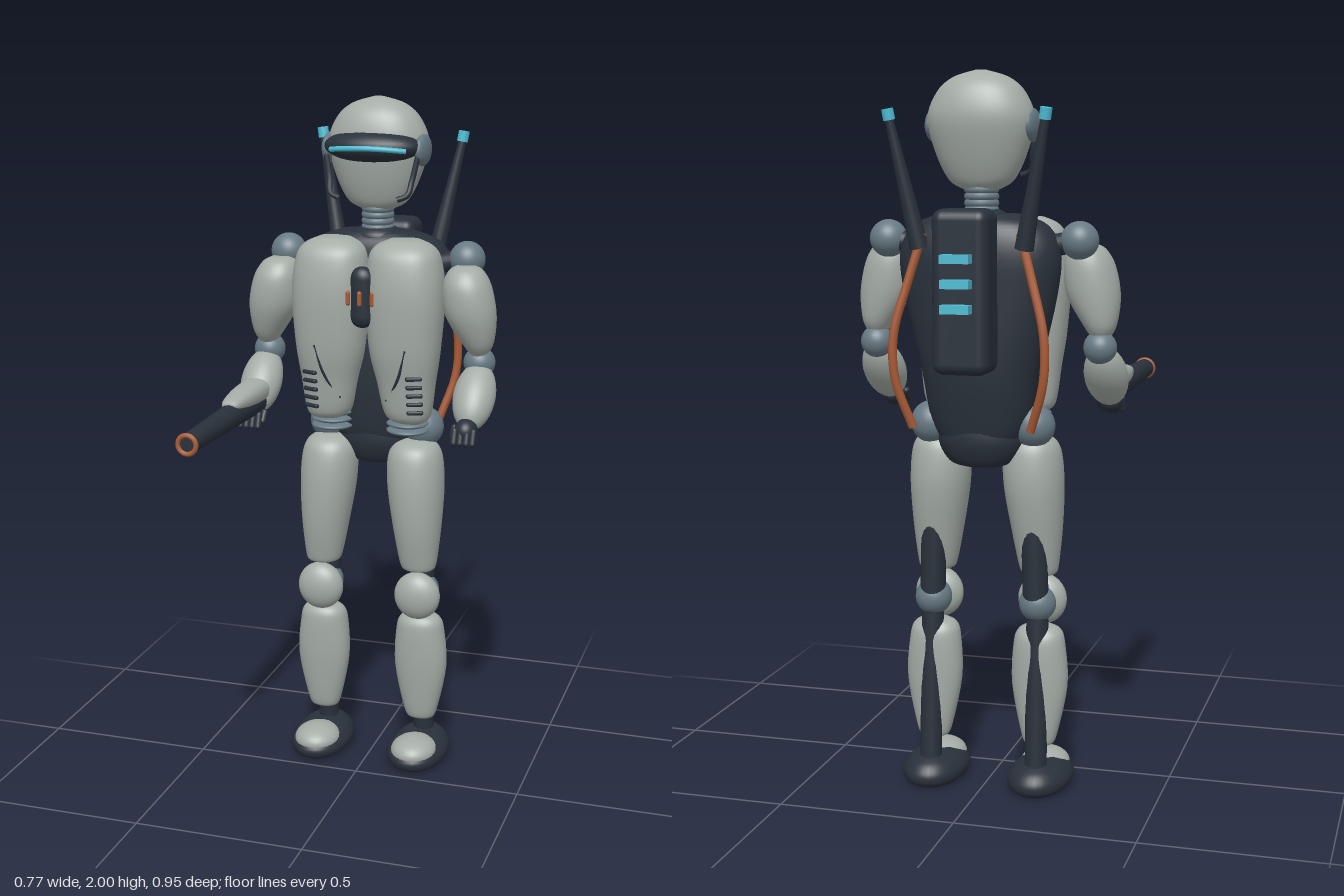
import * as THREE from 'three';
import { RoundedBoxGeometry } from 'three/addons/geometries/RoundedBoxGeometry.js';

const mat = (name, color) => Object.assign(new THREE.MeshStandardMaterial({ color }), { name });
const shell = mat('shell grey', 0xa5ada7);
const dark = mat('frame charcoal', 0x29313b);
const joint = mat('joint slate', 0x687a84);
const copper = mat('copper', 0xa85a35);
const cyan = mat('cyan glow', 0x4dbcd3);

const V = (x, y, z) => new THREE.Vector3(x, y, z);

// Smooth body through stacked rounded sections [y, cx, cz, halfWidth, halfDepth], bottom to top
function loft(sections, n = 2, s = 1, sub = 5, seg = 36) {
  const rows = [];
  for (let i = 0; i < sections.length - 1; i++) {
    const p = [i - 1, i, i + 1, i + 2].map(k => sections[Math.min(Math.max(k, 0), sections.length - 1)]);
    for (let j = 0; j < sub; j++) {
      const t = j / sub;
      rows.push(p[1].map((b, k) => {
        const m0 = (p[2][k] - p[0][k]) / 2, m1 = (p[3][k] - b) / 2, d = p[2][k] - b;
        return b + m0 * t + (3 * d - 2 * m0 - m1) * t * t + (m0 + m1 - 2 * d) * t ** 3;
      }));
    }
  }
  rows.push(sections.at(-1));
  const first = rows[0], last = rows.at(-1);
  rows.unshift([first[0], first[1], first[2], 0, 0]);
  rows.push([last[0], last[1], last[2], 0, 0]);
  const pos = [], idx = [];
  const pw = v => Math.sign(v) * Math.abs(v) ** (2 / n);
  rows.forEach(([y, cx, cz, a, b], r) => {
    for (let j = 0; j < seg; j++) {
      const t = j / seg * Math.PI * 2;
      pos.push(cx * s + a * pw(Math.cos(t)), y, cz + b * pw(Math.sin(t)));
      if (r < rows.length - 1) {
        const p = r * seg + j, q = r * seg + (j + 1) % seg;
        idx.push(p, p + seg, q, q, p + seg, q + seg);
      }
    }
  });
  const g = new THREE.BufferGeometry();
  g.setAttribute('position', new THREE.Float32BufferAttribute(pos, 3));
  g.setIndex(idx);
  g.computeVertexNormals();
  return g;
}

export function createModel() {
  const root = new THREE.Group();
  root.name = 'robot';
  const add = (name, geo, m, x = 0, y = 0, z = 0) => {
    const mesh = new THREE.Mesh(geo, m);
    mesh.name = name;
    mesh.position.set(x, y, z);
    root.add(mesh);
    return mesh;
  };
  const ball = (name, m, x, y, z, rx, ry = rx, rz = rx) =>
    add(name, new THREE.SphereGeometry(1, 32, 20).scale(rx, ry, rz), m, x, y, z);
  const rod = (name, m, a, b, r0, r1 = r0) => {
    const mesh = add(name, new THREE.CylinderGeometry(r1, r0, a.distanceTo(b), 20), m);
    mesh.position.copy(a).lerp(b, 0.5);
    mesh.quaternion.setFromUnitVectors(V(0, 1, 0), b.clone().sub(a).normalize());
    return mesh;
  };
  const tube = (name, m, pts, r) =>
    add(name, new THREE.TubeGeometry(new THREE.CatmullRomCurve3(pts), 28, r, 10), m);

  // Head, visor and neck
  add('head', loft([
    [1.685, 0, -0.215, 0.05, 0.04], [1.71, 0, -0.215, 0.09, 0.06], [1.78, 0, -0.217, 0.125, 0.085],
    [1.87, 0, -0.22, 0.147, 0.102], [1.94, 0, -0.22, 0.122, 0.088], [1.98, 0, -0.22, 0.078, 0.057],
    [2.0, 0, -0.22, 0.015, 0.012]], 2.15), shell);
  ball('visor', dark, 0, 1.865, -0.16, 0.143, 0.047, 0.076);
  const strip = [];
  for (let i = -5; i <= 5; i++) {
    const x = i * 0.022;
    strip.push(V(x, 1.865 - 0.6 * x * x, -0.16 + 0.075 * Math.sqrt(1 - (x / 0.143) ** 2)));
  }
  tube('visorLight', cyan, strip, 0.0075);
  rod('neckCore', dark, V(0, 1.58, -0.215), V(0, 1.72, -0.215), 0.04);
  for (let i = 0; i < 5; i++) {
    add('neckRing', new THREE.TorusGeometry(0.037, 0.011, 10, 28).rotateX(Math.PI / 2), joint, 0, 1.63 + i * 0.018, -0.215);
  }
  ball('collar', dark, 0, 1.605, -0.215, 0.075, 0.035, 0.07);

  // Torso frame and pelvis
  add('torsoFrame', loft([
    [0.99, 0, -0.22, 0.1, 0.075], [1.06, 0, -0.22, 0.14, 0.09], [1.2, 0, -0.225, 0.165, 0.105],
    [1.4, 0, -0.23, 0.212, 0.105], [1.52, 0, -0.23, 0.222, 0.105], [1.59, 0, -0.225, 0.185, 0.09],
    [1.62, 0, -0.22, 0.11, 0.06]], 2.4), dark);
  add('pelvis', loft([
    [0.93, 0, -0.22, 0.05, 0.04], [0.945, 0, -0.22, 0.09, 0.065], [1.0, 0, -0.22, 0.12, 0.085],
    [1.07, 0, -0.22, 0.11, 0.08]], 2.2), dark);

  // Chest badge
  add('chestBadge', new THREE.CapsuleGeometry(0.036, 0.105, 8, 20).scale(1, 1, 0.8), dark, 0, 1.45, -0.062);
  for (const x of [-0.036, 0, 0.036]) {
    add('badgeBar', new THREE.CapsuleGeometry(0.007, 0.03, 6, 12), copper, x, 1.45, x ? -0.04 : -0.034);
  }

  // Backpack with cooling fins
  add('backpack', new RoundedBoxGeometry(0.155, 0.435, 0.13, 4, 0.03), dark, 0, 1.42, -0.375);
  for (const y of [1.38, 1.445, 1.51]) {
    add('packFin', new THREE.BoxGeometry(0.078, 0.023, 0.05), cyan, 0, y, -0.452);
  }

  for (const s of [1, -1]) {
    // Ear disc and cheek boom
    ball('earDisc', joint, s * 0.137, 1.855, -0.2, 0.02, 0.045, 0.062);
    tube('cheekBoom', dark, [V(s * 0.135, 1.84, -0.15), V(s * 0.122, 1.775, -0.14), V(s * 0.113, 1.735, -0.122), V(s * 0.085, 1.722, -0.115)], 0.008);

    // Chest plate with groove and vents
    add('chestPlate', loft([
      [1.075, 0.13, -0.13, 0.03, 0.03], [1.1, 0.12, -0.13, 0.066, 0.06], [1.2, 0.115, -0.125, 0.085, 0.075],
      [1.3, 0.111, -0.12, 0.103, 0.09], [1.45, 0.111, -0.12, 0.113, 0.1], [1.55, 0.108, -0.122, 0.105, 0.09],
      [1.59, 0.106, -0.125, 0.085, 0.07], [1.61, 0.105, -0.13, 0.045, 0.04]], 2.4, s), shell);
    tube('chestGroove', dark, [V(s * 0.135, 1.31, -0.034), V(s * 0.11, 1.22, -0.048), V(s * 0.07, 1.15, -0.073)], 0.005);
    for (let i = 0; i < 5; i++) {
      const vent = add('sideVent', new RoundedBoxGeometry(0.048, 0.012, 0.03, 2, 0.005), dark, s * 0.153, 1.12 + i * 0.026, -0.078 + i * 0.005);
      vent.rotation.y = s * 0.4;
    }
    for (let i = 0; i < 3; i++) {
      ball('waistRib', joint, s * 0.115, 1.05 + i * 0.021, -0.14, 0.062, 0.013, 0.06);
    }

    // Antenna and hose
    rod('antenna', dark, V(s * 0.145, 1.53, -0.315), V(s * 0.213, 1.875, -0.36), 0.026, 0.011);
    rod('antennaTip', cyan, V(s * 0.211, 1.866, -0.359), V(s * 0.216, 1.896, -0.362), 0.016);
    tube('hose', copper, [V(s * 0.135, 1.57, -0.315), V(s * 0.17, 1.45, -0.33), V(s * 0.208, 1.3, -0.35), V(s * 0.206, 1.18, -0.348), V(s * 0.165, 1.045, -0.322)], 0.012);

    // Arm
    rod('shoulderAxle', dark, V(s * 0.17, 1.53, -0.205), V(s * 0.27, 1.55, -0.205), 0.03);
    ball('shoulder', joint, s * 0.27, 1.55, -0.205, 0.052);
    add('upperArm', loft([
      [1.28, 0.32, -0.16, 0.02, 0.025], [1.32, 0.317, -0.157, 0.045, 0.053], [1.4, 0.297, -0.148, 0.073, 0.074],
      [1.48, 0.285, -0.147, 0.07, 0.074], [1.525, 0.28, -0.152, 0.05, 0.054], [1.54, 0.278, -0.155, 0.025, 0.028]], 2.1, s), shell);
    ball('elbow', joint, s * 0.32, 1.26, -0.168, 0.046);
    ball('forearm', shell, s * 0.323, 1.175, -0.1, 0.061, 0.108, 0.055).rotation.x = -0.74;
    ball('palm', dark, s * 0.32, 1.095, -0.02, 0.033, 0.035, 0.04);
    for (let i = 0; i < 4; i++) {
      const finger = add('finger', new THREE.CapsuleGeometry(0.0095, 0.035, 6, 10), dark, s * (0.293 + i * 0.018), 1.083, 0.013);
      finger.rotation.x = -0.35;
    }
    add('thumb', new THREE.CapsuleGeometry(0.01, 0.03, 6, 10), dark, s * 0.286, 1.09, -0.012).rotation.x = -0.7;

    // Leg
    ball('hip', joint, s * 0.145, 1.045, -0.21, 0.06);
    rod('thighCore', dark, V(s * 0.15, 0.55, -0.2), V(s * 0.14, 0.98, -0.205), 0.036);
    add('thigh', loft([
      [0.62, 0.15, -0.155, 0.045, 0.045], [0.64, 0.148, -0.155, 0.055, 0.055], [0.75, 0.143, -0.158, 0.071, 0.08],
      [0.87, 0.136, -0.165, 0.083, 0.093], [0.96, 0.132, -0.168, 0.081, 0.085], [1.0, 0.132, -0.17, 0.063, 0.065],
      [1.015, 0.132, -0.17, 0.03, 0.03]], 2.15, s), shell);
    ball('kneeJoint', joint, s * 0.152, 0.54, -0.187, 0.052);
    ball('kneeCap', shell, s * 0.152, 0.54, -0.13, 0.07, 0.073, 0.045);
    rod('shinCore', dark, V(s * 0.155, 0.06, -0.215), V(s * 0.153, 0.55, -0.19), 0.031);
    add('shin', loft([
      [0.13, 0.155, -0.178, 0.035, 0.028], [0.155, 0.155, -0.175, 0.05, 0.04], [0.3, 0.155, -0.17, 0.079, 0.055],
      [0.42, 0.153, -0.168, 0.073, 0.058], [0.46, 0.153, -0.165, 0.06, 0.046], [0.475, 0.153, -0.165, 0.03, 0.025]], 2.2, s), shell);
    add('foot', loft([
      [0, 0.155, -0.157, 0.07, 0.115], [0.015, 0.155, -0.157, 0.087, 0.136], [0.04, 0.155, -0.157, 0.089, 0.138],
      [0.065, 0.155, -0.165, 0.07, 0.112], [0.08, 0.155, -0.185, 0.042, 0.065]], 2.1, s), dark);
    ball('toeCap', shell, s * 0.155, 0.05, -0.102, 0.07, 0.043, 0.08);
  }

  // Arm cannon on the right hand
  rod('cannonBarrel', dark, V(-0.323, 1.13, -0.04), V(-0.323, 1.13, 0.468), 0.039, 0.028);
  add('cannonRing', new THREE.TorusGeometry(0.026, 0.007, 10, 32), copper, -0.323, 1.13, 0.469);
  add('cannonBore', new THREE.CircleGeometry(0.022, 24), dark, -0.323, 1.13, 0.4695);
  const cover = add('cannonCover', loft([
    [-0.1, 0, 0, 0.03, 0.02], [-0.06, 0, 0, 0.043, 0.034], [0.05, 0, 0, 0.041, 0.031],
    [0.14, 0, 0, 0.03, 0.019], [0.165, 0, 0, 0.018, 0.008]], 2.4), shell, -0.323, 1.16, 0);
  cover.rotation.x = Math.PI / 2;
  return root;
}
